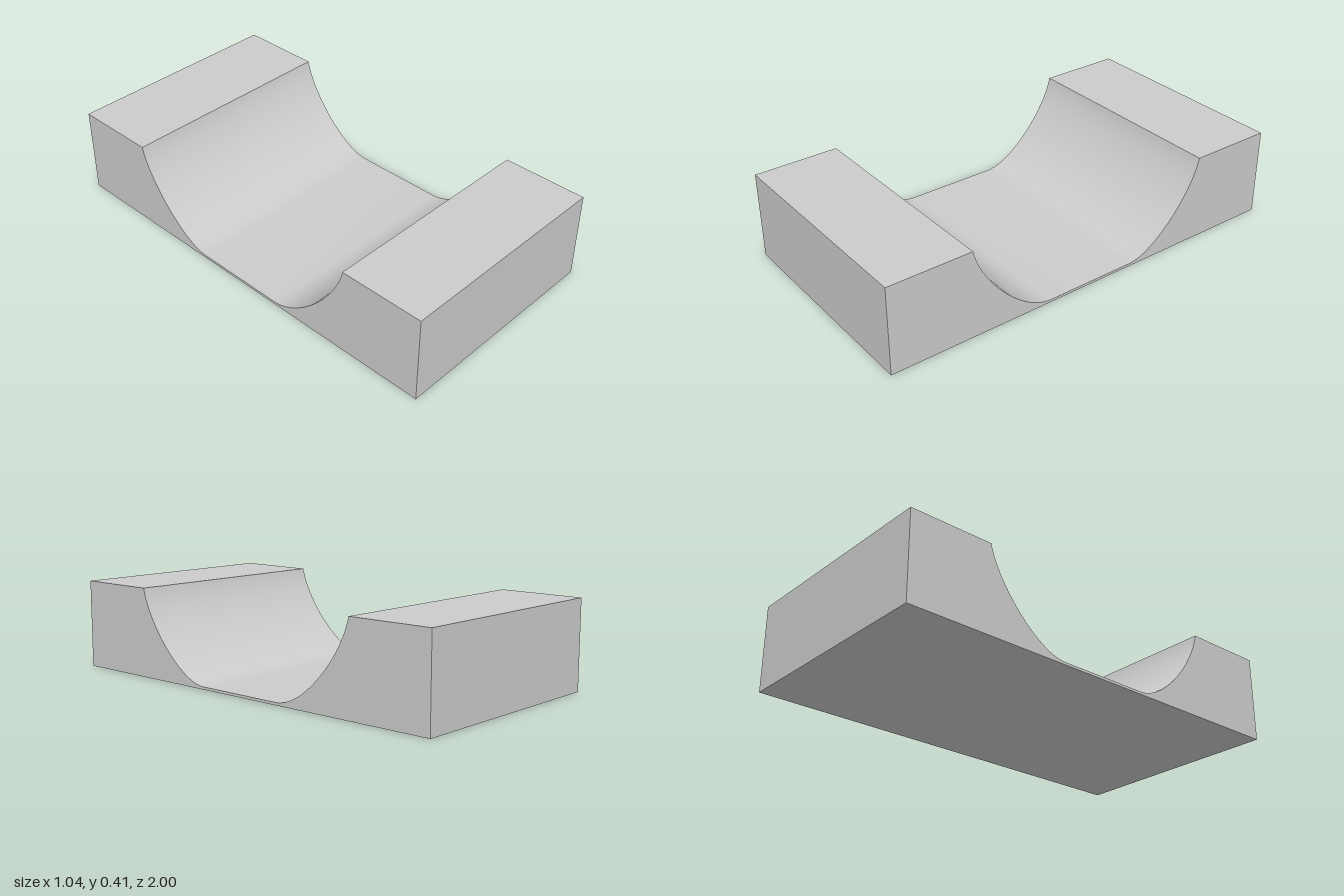
import * as THREE from 'three';
import { toCreasedNormals } from 'three/addons/utils/BufferGeometryUtils.js';

const WIDTH = 1.045;
const HEIGHT = 0.407;
const FLOOR = 0.012; // thin web under the channel

export function createModel() {
  const group = new THREE.Group();
  group.name = 'channelBlock';

  // Side profile: two raised ends joined by a thin floor with curved walls
  const profile = new THREE.Shape();
  profile.moveTo(-1, 0);
  profile.lineTo(1, 0);
  profile.lineTo(1, HEIGHT);
  profile.lineTo(0.607, HEIGHT);
  profile.bezierCurveTo(0.575, 0.25, 0.37, 0.015, 0.22, FLOOR);
  profile.lineTo(-0.22, FLOOR);
  profile.bezierCurveTo(-0.37, 0.015, -0.575, 0.25, -0.607, HEIGHT);
  profile.lineTo(-1, HEIGHT);
  profile.closePath();

  // Extrude across the width and turn the profile to run along z
  const extruded = new THREE.ExtrudeGeometry(profile, {
    depth: WIDTH, bevelEnabled: false, curveSegments: 32,
  });
  extruded.translate(0, 0, -WIDTH / 2);
  extruded.rotateY(-Math.PI / 2);

  const block = new THREE.Mesh(
    toCreasedNormals(extruded, Math.PI / 6),
    new THREE.MeshStandardMaterial({ color: 0xcccccc }),
  );
  block.name = 'cradleBlock';
  group.add(block);
  return group;
}
